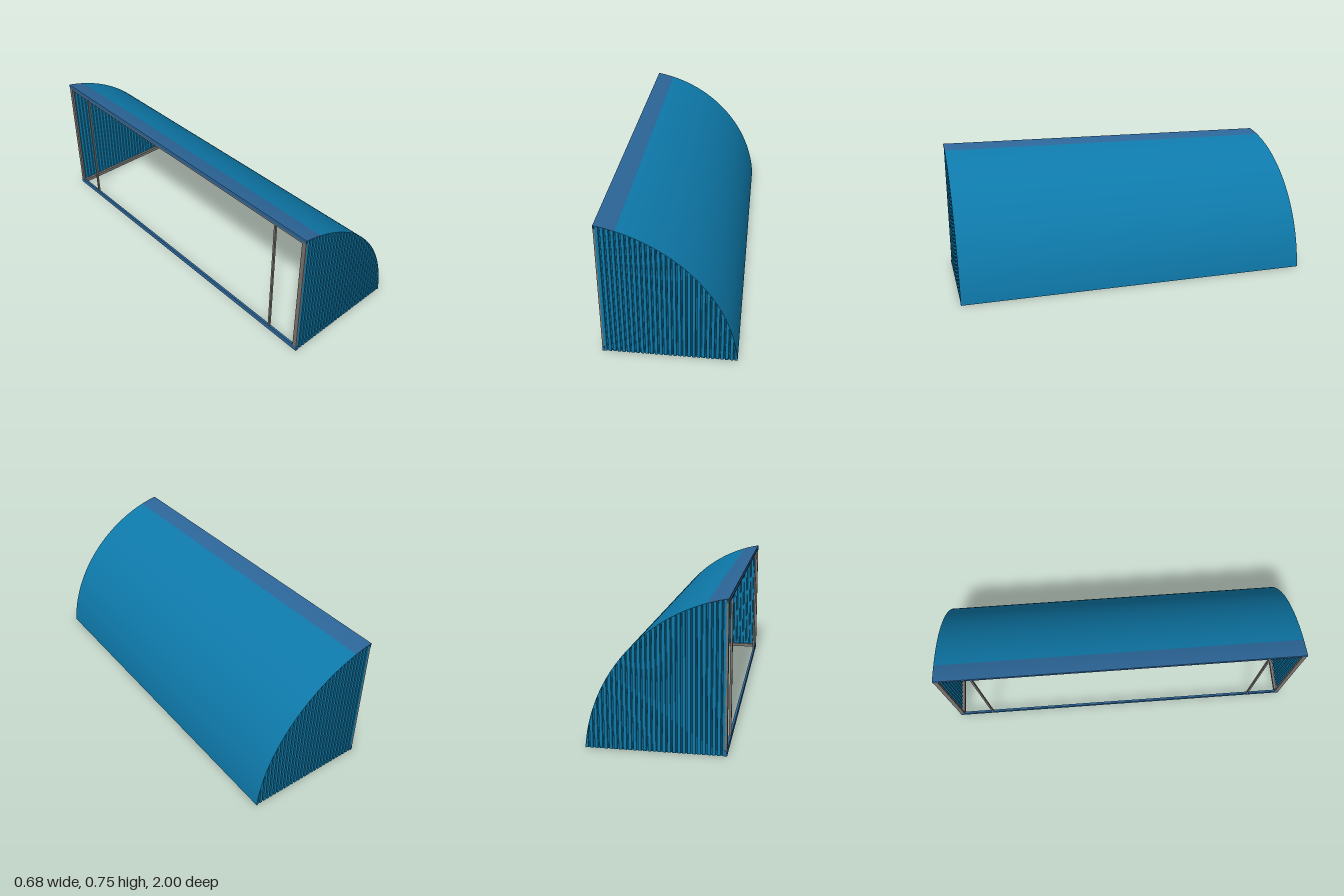
import * as THREE from 'three';
import { toCreasedNormals } from 'three/addons/utils/BufferGeometryUtils.js';

// Roof arc in the x-y plane
const CX = -0.481, CY = -0.067, R = 0.824;
const rad = THREE.MathUtils.degToRad;
const START = Math.asin(-CY / R), END = Math.acos((-0.34 - CX) / R);
const STRIP = Math.acos((-0.24 - CX) / R);
const arcY = (x, r = R) => Math.max(0, CY + Math.sqrt(Math.max(0, r * r - (x - CX) ** 2)));

const paint = (color, side = THREE.FrontSide) => new THREE.MeshStandardMaterial({ color, side });

export function createModel() {
  const group = new THREE.Group();
  const sheet = paint(0x0e7aab);
  const trim = paint(0x2c6699);
  const steel = paint(0x777470);
  const panel = paint(0x0e7aab, THREE.DoubleSide);

  function add(name, geometry, material, x = 0, y = 0, z = 0) {
    const mesh = new THREE.Mesh(geometry, material);
    mesh.name = name;
    mesh.position.set(x, y, z);
    group.add(mesh);
    return mesh;
  }
  const box = (name, w, h, d, material, x, y, z) =>
    add(name, new THREE.BoxGeometry(w, h, d), material, x, y, z);

  // Curved band between two radii, extruded along z and centred on z
  function band(name, outer, inner, a0, a1, depth, material, z = 0) {
    const shape = new THREE.Shape();
    shape.absarc(CX, CY, outer, a0, a1, false);
    shape.absarc(CX, CY, inner, a1, a0, true);
    const geometry = new THREE.ExtrudeGeometry(shape, { depth, bevelEnabled: false, curveSegments: 40 });
    geometry.translate(0, 0, -depth / 2);
    add(name, toCreasedNormals(geometry, 0.5), material, 0, 0, z);
  }

  // Roof sheet and ridge trim
  band('roofSheet', R, R - 0.004, START, STRIP, 2, sheet);
  band('ridgeTrim', R, R - 0.004, STRIP, END, 2, trim);
  box('ridgeFlange', 0.003, 0.02, 2, trim, -0.3385, 0.733, 0);

  // Curved ribs, with heavier ones at the two ends
  for (let i = -3; i <= 3; i++) {
    band('roofRib', R - 0.004, R - 0.016, START + 0.015, END - 0.015, 0.01, steel, i * 0.267);
  }
  for (const z of [-0.981, 0.981]) {
    band('endRib', R - 0.004, R - 0.018, START + 0.015, END - 0.015, 0.014, steel, z);
  }

  // Purlins running the length of the roof
  for (const degrees of [17, 50, 73]) {
    const a = rad(degrees), r = R - 0.009;
    const purlin = box('purlin', 0.01, 0.01, 1.96, steel,
      CX + r * Math.cos(a), CY + r * Math.sin(a), 0);
    purlin.rotation.z = a;
  }

  // Corrugated end walls: a trapezoid wave in x, cut to the roof arc on top
  const wave = [[0, 0], [0.62, 0], [0.72, 1], [0.9, 1]];
  const pitch = 0.0235, x0 = -0.332, x1 = 0.337;
  function wallGeometry() {
    const positions = [], columns = [];
    for (let x = x0; x < x1; x += pitch) {
      for (const [t, d] of wave) {
        if (x + t * pitch < x1) columns.push([x + t * pitch, -0.007 * d]);
      }
    }
    columns.push([x1, 0]);
    for (let i = 0; i < columns.length - 1; i++) {
      const [xa, za] = columns[i], [xb, zb] = columns[i + 1];
      const ya = arcY(xa, R - 0.002), yb = arcY(xb, R - 0.002);
      positions.push(xa, 0, za, xb, 0, zb, xb, yb, zb, xa, 0, za, xb, yb, zb, xa, ya, za);
    }
    const geometry = new THREE.BufferGeometry();
    geometry.setAttribute('position', new THREE.Float32BufferAttribute(positions, 3));
    geometry.computeVertexNormals();
    return geometry;
  }
  const wall = wallGeometry();
  for (const s of [1, -1]) {
    const mesh = add('corrugatedEndWall', wall, panel, 0, 0, s * 0.998);
    mesh.scale.z = s;

    // Frame around each end wall
    box('endSill', 0.655, 0.02, 0.016, steel, 0, 0.01, s * 0.982);
    box('cornerPost', 0.012, 0.70, 0.024, steel, -0.334, 0.375, s * 0.986);
    box('innerPost', 0.011, 0.70, 0.011, steel, -0.334, 0.375, s * 0.8);
  }

  // Long beams: open side sill and lintel, low eave sill
  box('openSideSill', 0.012, 0.028, 2, trim, -0.334, 0.014, 0);
  box('openSideLintel', 0.012, 0.024, 1.98, steel, -0.331, 0.724, 0);
  box('eaveSill', 0.012, 0.02, 1.98, steel, 0.327, 0.01, 0);

  return group;
}
